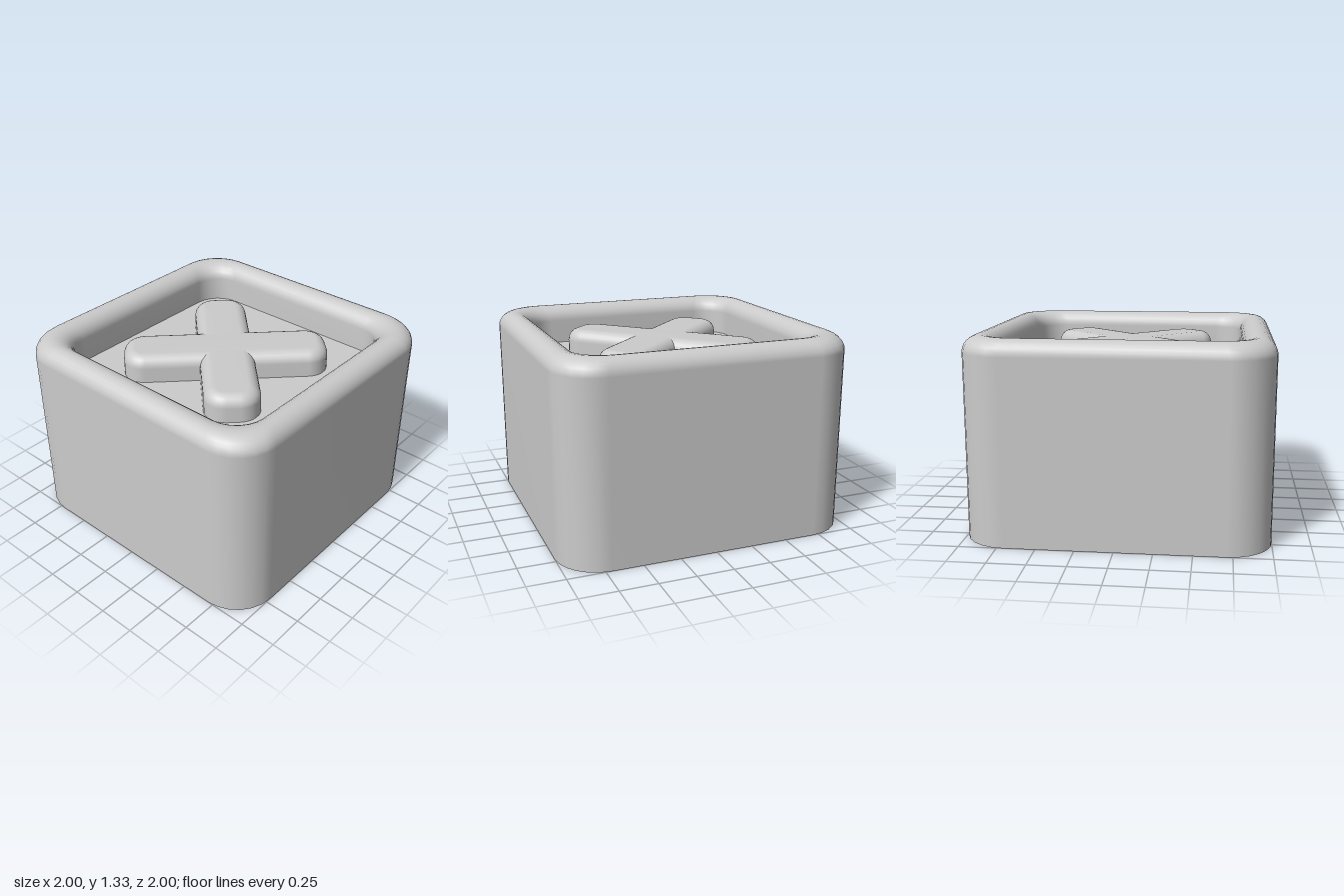
import * as THREE from 'three';

const material = new THREE.MeshStandardMaterial({ color: 0xcccccc, side: THREE.DoubleSide });
const CORNER_STEPS = 6;

// Rounded rectangle outline, counterclockwise from above
function outline(hx, hz, r, y) {
  const points = [];
  [[1, 1], [-1, 1], [-1, -1], [1, -1]].forEach(([sx, sz], corner) => {
    for (let i = 0; i <= CORNER_STEPS; i++) {
      const a = (corner + i / CORNER_STEPS) * Math.PI / 2;
      points.push(new THREE.Vector3(
        sx * (hx - r) + r * Math.cos(a), y, -(sz * (hz - r) + r * Math.sin(a))));
    }
  });
  return points;
}

// Skin a stack of outlines, optionally closing the last one
function loft(rings, capped = false) {
  const n = rings[0].length;
  const points = rings.flat();
  const index = [];
  for (let k = 0; k < rings.length - 1; k++) {
    for (let i = 0; i < n; i++) {
      const a = k * n + i, b = k * n + (i + 1) % n;
      index.push(a, b, a + n, b, b + n, a + n);
    }
  }
  if (capped) {
    const last = (rings.length - 1) * n;
    points.push(new THREE.Vector3(0, rings.at(-1)[0].y, 0));
    for (let i = 0; i < n; i++) index.push(last + i, last + (i + 1) % n, points.length - 1);
  }
  const geometry = new THREE.BufferGeometry().setFromPoints(points);
  geometry.setIndex(index);
  geometry.computeVertexNormals();
  return geometry;
}

function addMesh(parent, name, geometry) {
  const mesh = new THREE.Mesh(geometry, material);
  mesh.name = name;
  parent.add(mesh);
  return mesh;
}

export function createModel() {
  const model = new THREE.Group();
  model.name = 'crossButton';

  // Open-bottomed housing: outer wall, half-round rim, inner wall
  const floorY = 1.06, rimY = 1.228, rimR = 0.105;
  const shell = [outline(1, 1, 0.29, 0)];
  for (let i = 0; i <= 12; i++) {
    const a = i / 12 * Math.PI;
    const half = 1 - rimR + rimR * Math.cos(a);
    const r = THREE.MathUtils.lerp(0.2, 0.29, (half - 0.79) / 0.21);
    shell.push(outline(half, half, r, rimY + rimR * Math.sin(a)));
  }
  shell.push(outline(0.79, 0.79, 0.2, floorY));
  addMesh(model, 'housing', loft(shell));

  // Recessed floor
  addMesh(model, 'recessFloor', loft([outline(0.79, 0.79, 0.2, floorY)], true));

  // Raised cross: two soft-edged bars, open below and sunk through the floor
  const cross = new THREE.Group();
  cross.name = 'cross';
  model.add(cross);
  const length = 0.7, width = 0.187, topY = 1.243, bevel = 0.08;
  const bar = [outline(length, width, 0.143, 1.0)];
  for (let i = 0; i <= 6; i++) {
    const a = i / 6 * Math.PI / 2;
    const inset = bevel * (1 - Math.cos(a));
    bar.push(outline(length - inset, width - inset, 0.143 - inset,
      topY - bevel + bevel * Math.sin(a)));
  }
  const barGeometry = loft(bar, true);
  for (const side of [1, -1]) {
    addMesh(cross, 'crossBar', barGeometry).rotation.y = side * Math.PI / 4;
  }
  return model;
}
